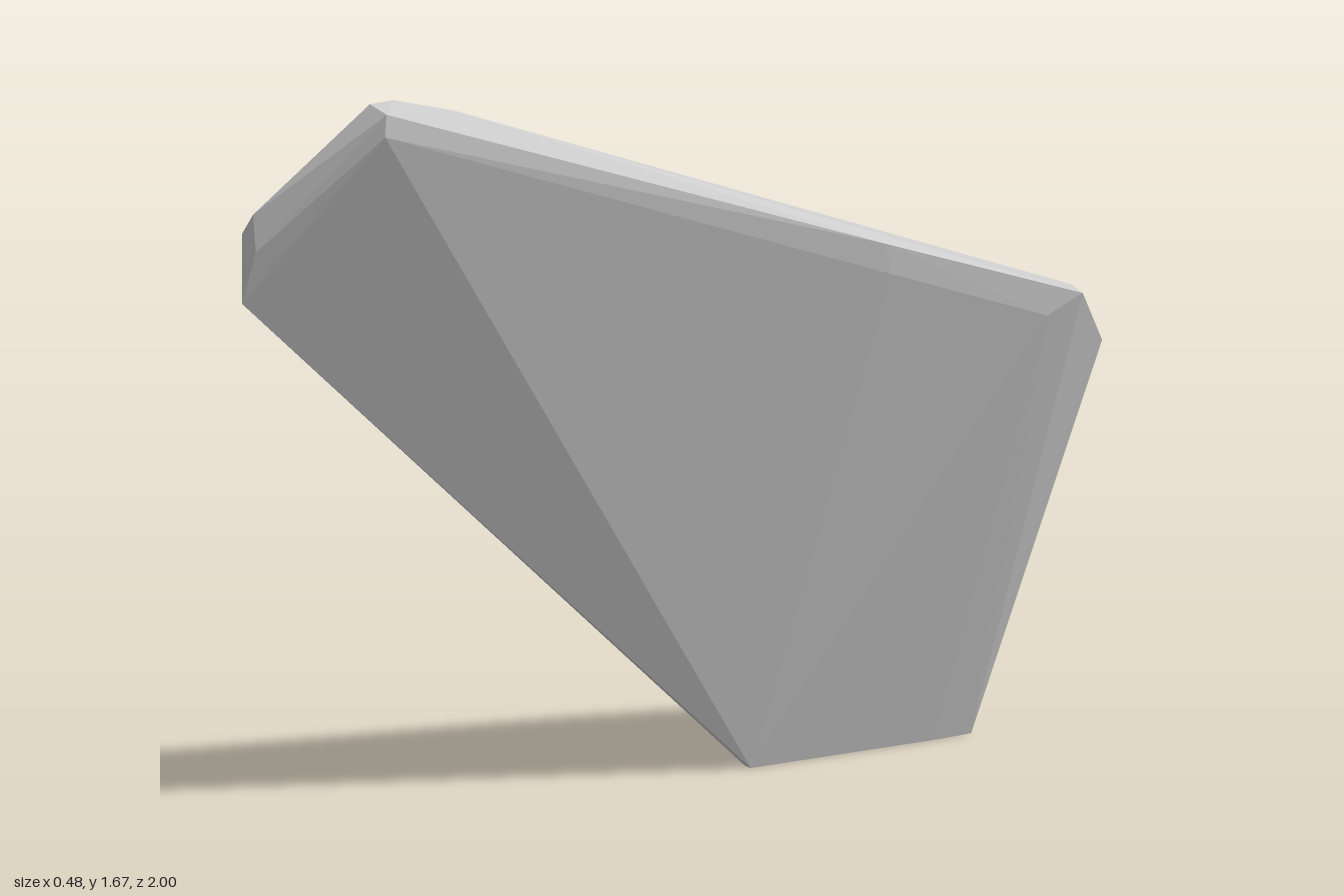
import * as THREE from 'three';
import { ConvexGeometry } from 'three/addons/geometries/ConvexGeometry.js';

// Corner points of a faceted, slanted stone shard, grouped by region
const corners = {
  frontTip: [[-0.13, 1.22, 1], [-0.08, 1.34, 1], [-0.13, 1.37, 1], [-0.09, 1.42, 1]],
  peak: [[0.09, 1.67, 0.83], [0.09, 1.67, 0.77], [0.15, 1.66, 0.83], [0.145, 1.61, 0.83], [0.14, 1.64, 0.65]],
  frontShoulder: [[0, 1.57, 0.75], [-0.08, 1.46, 0.78], [-0.13, 1.34, 0.82], [-0.16, 1.22, 0.83]],
  leftRidge: [[0.24, 1.22, -0.38], [0.225, 1.15, -0.4], [0.225, 1.0, -0.8], [0.24, 1.04, -0.88], [0.2, 1.05, -0.88]],
  back: [[0.14, 0.9, -1], [0.1, 0.92, -1], [-0.07, 0.66, -1], [-0.2, 0.3, -0.91]],
  base: [[-0.24, 0, -0.36], [-0.22, 0, -0.36], [-0.19, 0, -0.8], [-0.19, 0, -0.9], [-0.22, 0, -0.9], [-0.24, 0, -0.84]],
  lowerSide: [[-0.24, 0.46, -0.15], [-0.24, 0.2, -0.84]],
};

// Rounded cross-section of the upper side, as x and y, near the back
const roundedSide = [[0.1, 1.115], [0.03, 1.05], [-0.04, 0.95], [-0.1, 0.83], [-0.155, 0.69], [-0.2, 0.54]];

export function createModel() {
  const group = new THREE.Group();
  group.name = 'stoneShard';

  const stone = new THREE.MeshStandardMaterial({ color: 0xcccccc, flatShading: true });
  stone.name = 'stoneGrey';

  // Solid wrapped around all corners
  const points = Object.values(corners).flat().map((p) => new THREE.Vector3(...p));
  for (const [x, y] of roundedSide) points.push(new THREE.Vector3(x, y, -0.56));
  const shard = new THREE.Mesh(new ConvexGeometry(points), stone);
  shard.name = 'shard';
  group.add(shard);
  return group;
}
